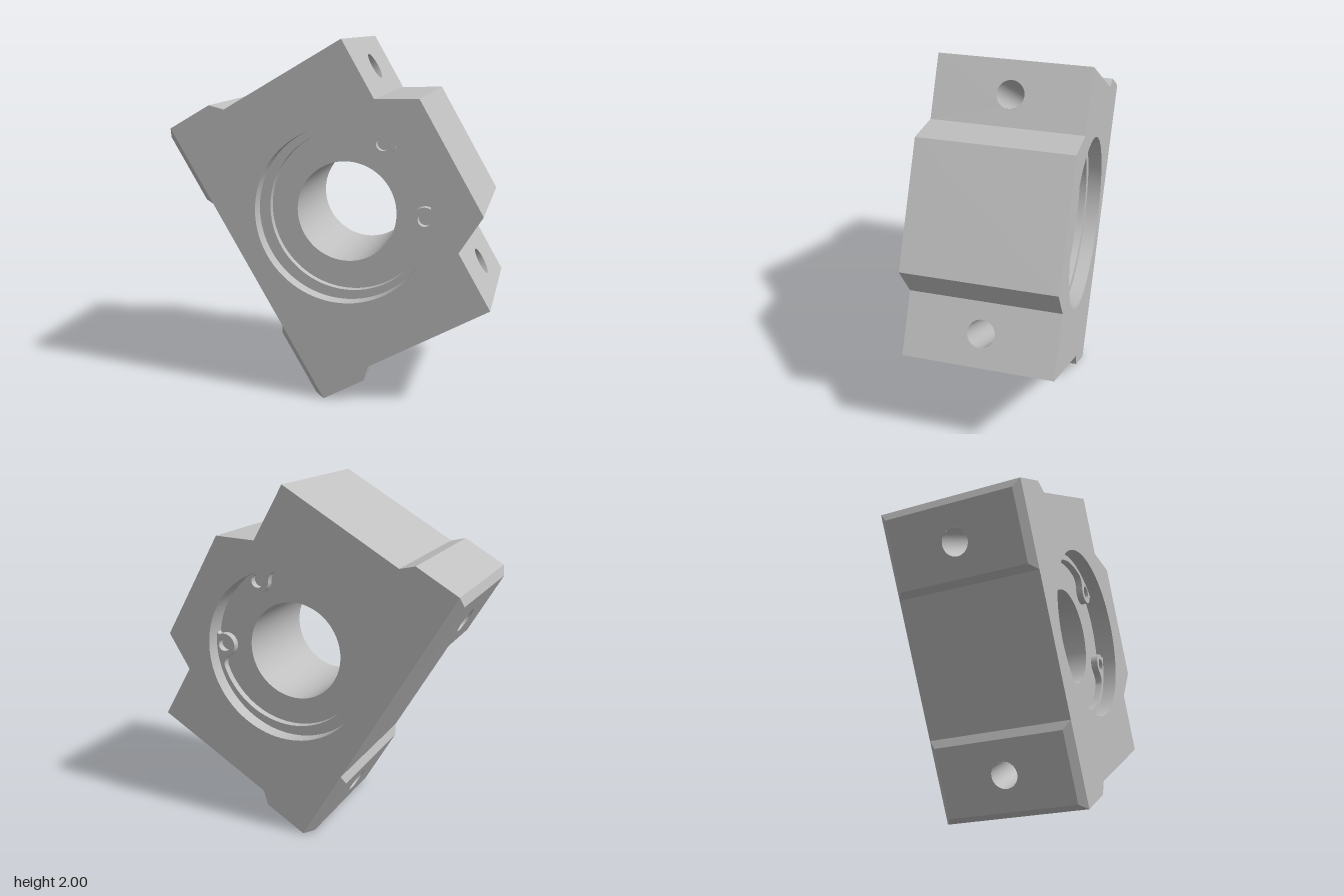
import * as THREE from 'three';

const HALF = 0.415;                 // half depth of the block
const MID = 0.881, CX = 0.609;      // centre line and bore centre
const FACE = -0.011;                // mounting face
const BORE = 0.28, RECESS = 0.4885, FLOOR = 0.295;
const BOLT = 0.075, BOLT_OFF = 0.628, LEDGE = 1.077;
const CHAMFER = 0.04;
const rad = THREE.MathUtils.degToRad;

export function createModel() {
  const model = new THREE.Group();
  model.name = 'bearingBlock';
  const steel = new THREE.MeshStandardMaterial({ color: 0xbfbfbf, side: THREE.DoubleSide });
  steel.name = 'grey metal';

  // The block is built upright, then tilted 30 degrees
  const block = new THREE.Group();
  block.name = 'tiltedBlock';
  block.rotation.z = Math.PI / 6;
  model.add(block);

  const add = (name, geometry, x = 0, y = 0, z = 0) => {
    const mesh = new THREE.Mesh(geometry, steel);
    mesh.name = name;
    mesh.position.set(x, y, z);
    block.add(mesh);
    return mesh;
  };
  const circle = (x, y, r) => new THREE.Path().absarc(x, y, r, 0, Math.PI * 2, false);

  // Flat wall along p-q, spanning the depth, with an optional bolt hole
  const wall = (name, p, q, half = HALF, hole = null) => {
    const d = new THREE.Vector3(q[0] - p[0], q[1] - p[1], 0);
    const len = d.length();
    d.normalize();
    const shape = new THREE.Shape([
      new THREE.Vector2(0, -half), new THREE.Vector2(len, -half),
      new THREE.Vector2(len, half), new THREE.Vector2(0, half),
    ]);
    if (hole !== null) shape.holes.push(circle(Math.abs(hole - p[1]), 0, BOLT));
    const z = new THREE.Vector3(0, 0, 1);
    const m = new THREE.Matrix4().makeBasis(d, z, d.clone().cross(z)).setPosition(p[0], p[1], 0);
    add(name, new THREE.ShapeGeometry(shape, 32).applyMatrix4(m));
  };

  // Symmetric outline: lower half, then mirrored about the centre line
  const lower = [[FACE, 0.011], [0.256, 0.011], [0.32, 0.072], [LEDGE, 0.072], [LEDGE, 0.423], [1.285, 0.535]];
  const flip = ([x, y]) => [x, 2 * MID - y];
  const outline = [...lower, ...lower.map(flip).reverse()];

  // Side walls; the two ledges carry bolt holes
  for (let i = 0; i < outline.length - 1; i++) {
    const hole = i === 3 ? MID - BOLT_OFF : i === 7 ? MID + BOLT_OFF : null;
    wall(hole === null ? 'sideWall' : 'boltLedge', outline[i], outline[i + 1], HALF, hole);
  }
  wall('mountingRelief', [FACE, 1.275], [FACE, 2 * MID - 1.275]);

  // Front and back faces with recess openings
  const face = new THREE.Shape(outline.map(([x, y]) => new THREE.Vector2(x, y)));
  face.holes.push(circle(CX, MID, RECESS));

  // Retaining ring: eccentric band ending in two drilled lugs
  const ring = new THREE.Shape();
  const lugX = 0.374, lugY = 0.231, lugR = 0.068;
  ring.absarc(0, 0, RECESS, rad(23), rad(337), false);
  ring.absarc(lugX, -lugY, lugR, rad(30), rad(206), false);
  ring.quadraticCurveTo(0.345, -0.32, 0.30, -0.353);
  ring.absarc(0.025, 0, 0.4475, rad(307.9), rad(52.1), true);
  ring.quadraticCurveTo(0.345, 0.32, 0.313, 0.261);
  ring.absarc(lugX, lugY, lugR, rad(154), rad(330), false);
  ring.closePath();
  ring.holes.push(circle(lugX, lugY, 0.037), circle(lugX, -lugY, 0.037));
  const ringGeometry = new THREE.ExtrudeGeometry(ring, { depth: 0.04, bevelEnabled: false, curveSegments: 40 });

  for (const s of [1, -1]) {
    const turn = s > 0 ? 0 : Math.PI;
    const side = s > 0 ? 'front' : 'back';

    const faceGeometry = new THREE.ShapeGeometry(face, 48);
    if (s < 0) {
      // Reverse the corners so the back face looks outward
      faceGeometry.index.array.reverse();
      faceGeometry.computeVertexNormals();
    }
    add(side + 'Face', faceGeometry, 0, 0, s * HALF);

    add(side + 'RecessFloor', new THREE.RingGeometry(BORE, RECESS, 96), CX, MID, s * FLOOR).rotation.y = turn;

    const recess = new THREE.CylinderGeometry(RECESS, RECESS, HALF - FLOOR, 96, 1, true);
    recess.rotateX(Math.PI / 2);
    add(side + 'RecessWall', recess, CX, MID, s * (HALF + FLOOR) / 2);

    add(side + 'RetainingRing', ringGeometry, CX, MID, s > 0 ? FLOOR : -FLOOR - 0.04);
  }

  // Central through bore
  const bore = new THREE.CylinderGeometry(BORE, BORE, FLOOR * 2, 96, 1, true);
  add('bore', bore.rotateX(Math.PI / 2), CX, MID, 0);

  // Chamfered mounting feet with through bolt holes
  for (const s of [-1, 1]) {
    const y0 = s < 0 ? 0.011 : 1.275, y1 = s < 0 ? 2 * MID - 1.275 : 2 * MID - 0.011;
    const top = FACE - CHAMFER, c = CHAMFER;
    wall('footPad', [top, y1 - c], [top, y0 + c], HALF - c, MID + s * BOLT_OFF);

    const base = [[y0, -HALF], [y0, HALF], [y1, HALF], [y1, -HALF]];
    const inset = [[y0 + c, c - HALF], [y0 + c, HALF - c], [y1 - c, HALF - c], [y1 - c, c - HALF]];
    const pos = [];
    for (let i = 0; i < 4; i++) {
      const j = (i + 1) % 4;
      const A = [FACE, ...base[i]], B = [FACE, ...base[j]];
      const C = [top, ...inset[j]], D = [top, ...inset[i]];
      pos.push(...A, ...B, ...C, ...A, ...C, ...D);
    }
    const chamfer = new THREE.BufferGeometry();
    chamfer.setAttribute('position', new THREE.Float32BufferAttribute(pos, 3));
    chamfer.computeVertexNormals();
    add('footChamfer', chamfer);

    const bolt = new THREE.CylinderGeometry(BOLT, BOLT, LEDGE - top, 32, 1, true);
    add('boltHole', bolt.rotateZ(Math.PI / 2), (LEDGE + top) / 2, MID + s * BOLT_OFF, 0);
  }

  return model;
}
